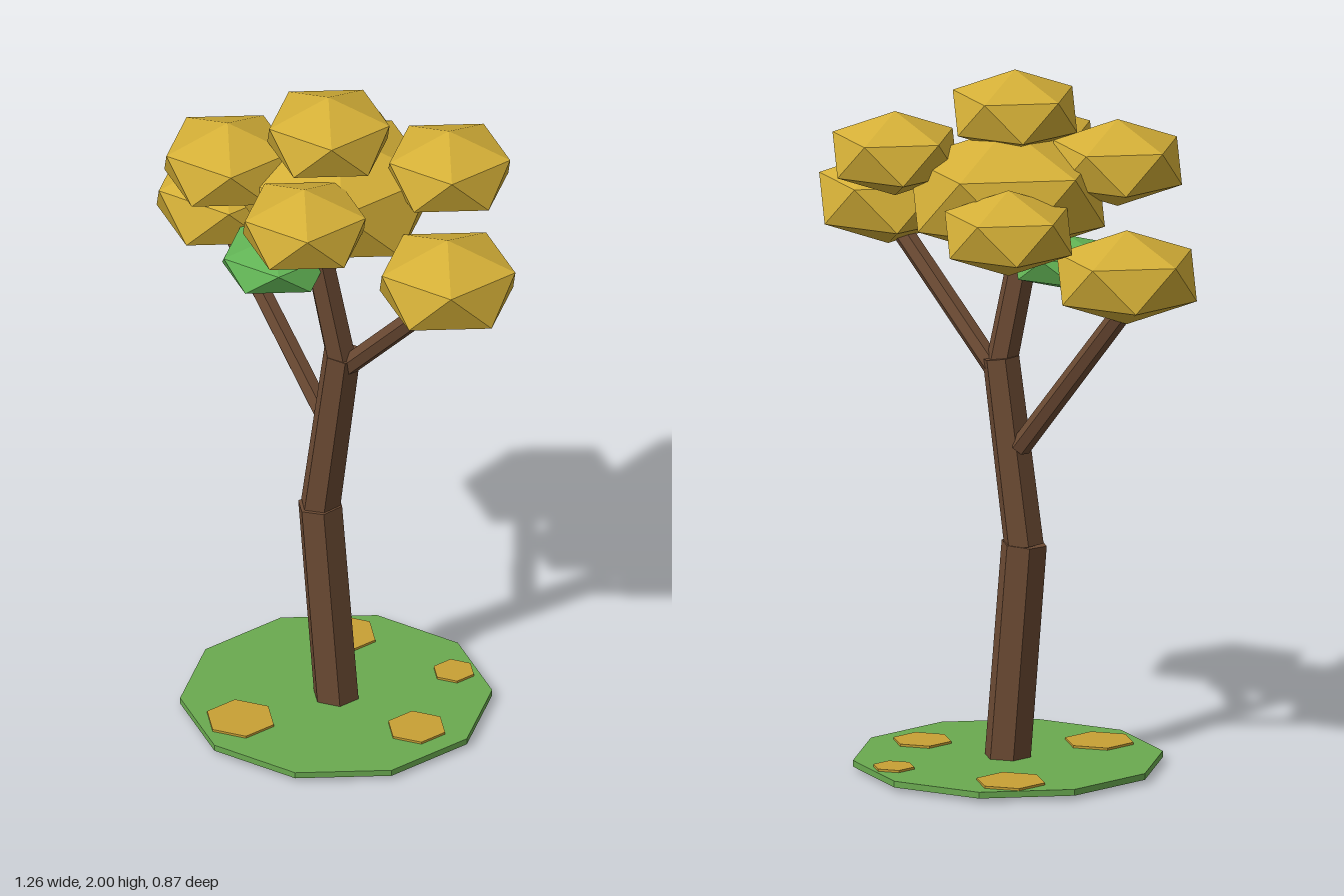
import * as THREE from 'three';

const material = (name, color) => {
  const m = new THREE.MeshStandardMaterial({ color });
  m.name = name;
  return m;
};

// Give every face its own flat normal
function faceted(geometry) {
  const g = geometry.index ? geometry.toNonIndexed() : geometry;
  g.computeVertexNormals();
  return g;
}

export function createModel() {
  const bark = material('bark brown', 0x6b4a33);
  const gold = material('foliage gold', 0xd4af37);
  const green = material('foliage green', 0x62b455);
  const grass = material('grass green', 0x6aaa50);
  const fallen = material('fallen leaf gold', 0xc8a035);

  const tree = new THREE.Group();
  tree.name = 'tree';

  const add = (name, geometry, mat) => {
    const mesh = new THREE.Mesh(faceted(geometry), mat);
    mesh.name = name;
    tree.add(mesh);
    return mesh;
  };

  // Six-sided tapered limb between two points
  const limb = (name, from, to, r0, r1) => {
    const a = new THREE.Vector3(...from), b = new THREE.Vector3(...to);
    const dir = b.clone().sub(a);
    const mesh = add(name, new THREE.CylinderGeometry(r1, r0, dir.length(), 6), bark);
    mesh.position.copy(a).add(b).multiplyScalar(0.5);
    mesh.quaternion.setFromUnitVectors(new THREE.Vector3(0, 1, 0), dir.normalize());
  };

  // Flattened icosahedron standing on a vertex
  const clump = (name, mat, x, y, z, r, ry) => {
    const g = new THREE.IcosahedronGeometry(1, 0);
    g.rotateZ(Math.atan(2 / (1 + Math.sqrt(5))));
    g.scale(r, ry, r);
    add(name, g, mat).position.set(x, y, z);
  };

  // Ground disc
  add('ground', new THREE.CylinderGeometry(0.437, 0.437, 0.018, 10), grass).position.y = 0.02;

  // Fallen leaf patches: x, z, radius
  [[-0.06, 0.295, 0.1], [0.285, -0.06, 0.085], [0.115, -0.33, 0.06], [-0.235, -0.21, 0.1]]
    .forEach(([x, z, r], i) => {
      add('leafPatch' + (i + 1), new THREE.CylinderGeometry(r, r, 0.009, 6), fallen)
        .position.set(x, 0.031, z);
    });

  // Bent trunk and two branches
  limb('trunkLower', [0.003, 0.005, 0], [-0.04, 0.645, 0.025], 0.067, 0.066);
  limb('trunkMiddle', [-0.042, 0.64, 0.022], [0.035, 1.17, 0.006], 0.058, 0.054);
  limb('trunkUpper', [0.036, 1.16, 0.012], [-0.022, 1.57, 0.065], 0.045, 0.042);
  limb('branchLeft', [0.05, 1.13, 0], [0.43, 1.52, -0.045], 0.03, 0.03);
  limb('branchRight', [-0.045, 0.925, 0.005], [-0.415, 1.37, 0.045], 0.03, 0.029);

  // Golden crown: x, y, z, radius, half height
  [
    ['crownCenter', -0.027, 1.66, -0.027, 0.31, 0.19],
    ['crownTop', 0.003, 1.88, 0.03, 0.198, 0.12],
    ['crownLeft', 0.435, 1.571, -0.05, 0.22, 0.135],
    ['crownRight', -0.432, 1.476, 0.05, 0.223, 0.135],
    ['crownFrontRight', -0.232, 1.745, 0.203, 0.205, 0.125],
    ['crownFrontLeft', 0.144, 1.722, 0.23, 0.199, 0.119],
    ['crownBackLeft', 0.212, 1.766, -0.234, 0.199, 0.121],
    ['crownBackRight', -0.22, 1.608, -0.205, 0.203, 0.123],
  ].forEach(([name, ...p]) => clump(name, gold, ...p));

  // Small green clump below the crown
  clump('greenClump', green, -0.114, 1.45, 0.125, 0.174, 0.077);

  return tree;
}
